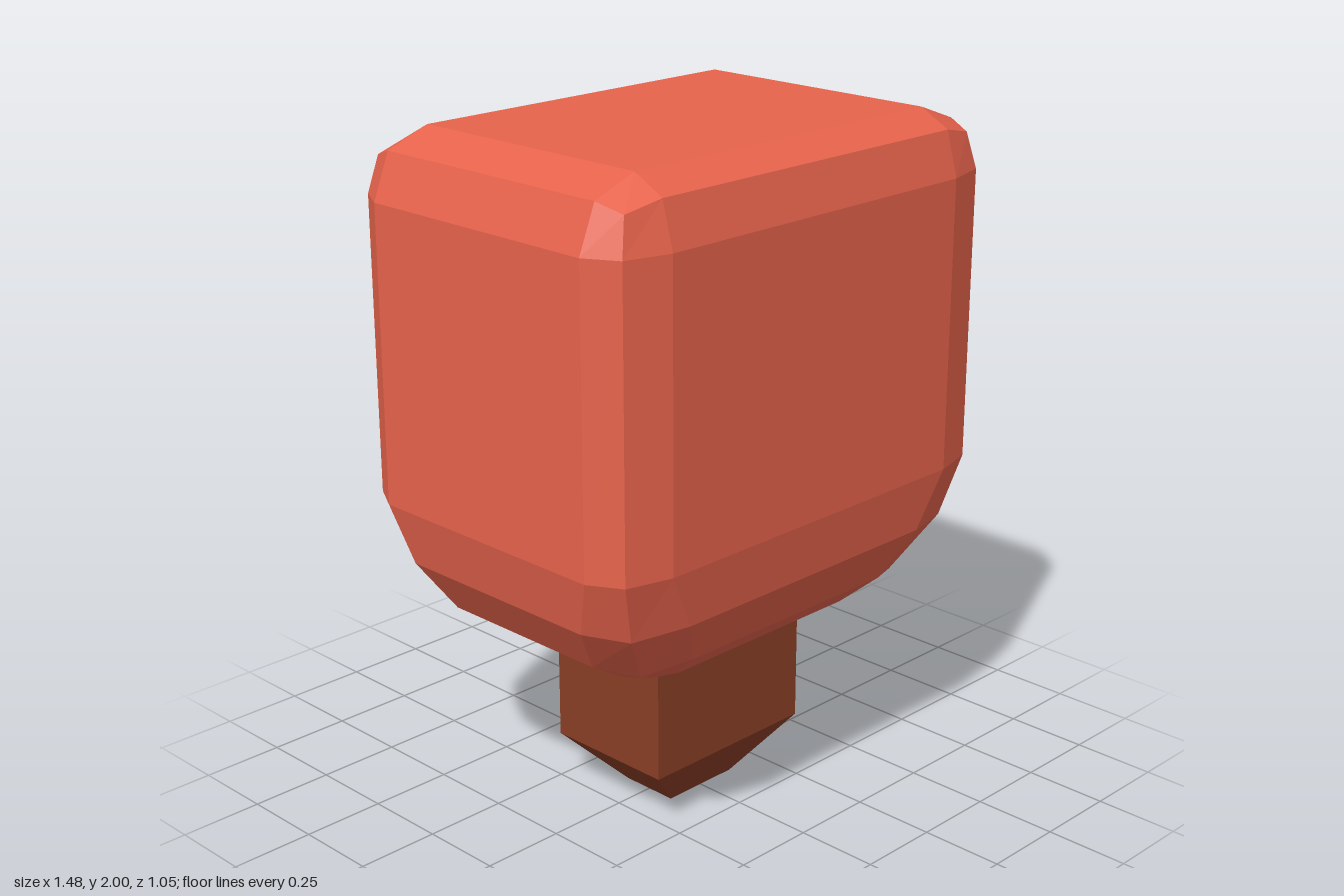
import * as THREE from 'three';

// Mirrors one quadrant of points, listed from +x round to +z, into a full ring
function mirrorRing(quadrant) {
  const reversed = [...quadrant].reverse();
  return [[1, 1], [-1, 1], [-1, -1], [1, -1]].flatMap(([sx, sz], q) =>
    (q % 2 ? reversed : quadrant).map(([x, y, z]) => new THREE.Vector3(sx * x, y, sz * z)));
}

// Skins rings listed from bottom to top; caps close the ends
function loft(rings, capBottom, capTop) {
  const positions = [];
  const tri = (a, b, c) => {
    const area = b.clone().sub(a).cross(c.clone().sub(a)).length();
    if (area > 1e-7) for (const p of [a, b, c]) positions.push(p.x, p.y, p.z);
  };
  const n = rings[0].length;
  for (let i = 0; i < rings.length - 1; i++) {
    for (let j = 0; j < n; j++) {
      const k = (j + 1) % n;
      const a = rings[i][j], b = rings[i][k], c = rings[i + 1][k], d = rings[i + 1][j];
      tri(a, d, b);
      tri(b, d, c);
    }
  }
  const bottom = rings[0], top = rings[rings.length - 1];
  for (let j = 1; j < n - 1; j++) {
    if (capBottom) tri(bottom[0], bottom[j], bottom[j + 1]);
    if (capTop) tri(top[0], top[j + 1], top[j]);
  }
  const geometry = new THREE.BufferGeometry();
  geometry.setAttribute('position', new THREE.Float32BufferAttribute(positions, 3));
  geometry.computeVertexNormals();
  return geometry;
}

function part(name, geometry, color) {
  const mesh = new THREE.Mesh(geometry, new THREE.MeshStandardMaterial({ color, flatShading: true }));
  mesh.name = name;
  return mesh;
}

export function createModel() {
  const group = new THREE.Group();
  group.name = 'blockTree';

  // Crown: height, corner height, half width, half depth, flat x, flat z, corner x, corner z
  const crownSections = [
    [0.525, 0.525, 0.29, 0.205, 0.29, 0.205, 0.29, 0.205],
    [0.565, 0.555, 0.46, 0.33, 0.335, 0.24, 0.40, 0.285],
    [0.655, 0.625, 0.605, 0.43, 0.385, 0.275, 0.515, 0.365],
    [0.80, 0.79, 0.70, 0.50, 0.465, 0.335, 0.63, 0.45],
    [0.97, 0.97, 0.738, 0.523, 0.55, 0.393, 0.685, 0.487],
    [1.82, 1.82, 0.738, 0.523, 0.55, 0.393, 0.685, 0.487],
    [1.95, 1.925, 0.685, 0.487, 0.55, 0.393, 0.66, 0.468],
    [2.00, 2.00, 0.55, 0.393, 0.55, 0.393, 0.55, 0.393],
  ];
  const crownRings = crownSections.map(([y, cornerY, w, d, flatX, flatZ, cornerX, cornerZ]) =>
    mirrorRing([[w, y, flatZ], [cornerX, cornerY, cornerZ], [flatX, y, d]]));
  group.add(part('crown', loft(crownRings, false, true), 0xe7634c));

  // Trunk: square post with a tapered foot, meeting the underside of the crown
  const trunkRings = [
    [0.125, 0, 0.09],
    [0.29, 0.17, 0.205],
    [0.29, 0.525, 0.205],
  ].map((corner) => mirrorRing([corner]));
  group.add(part('trunk', loft(trunkRings, true, false), 0x8a3f26));

  return group;
}
